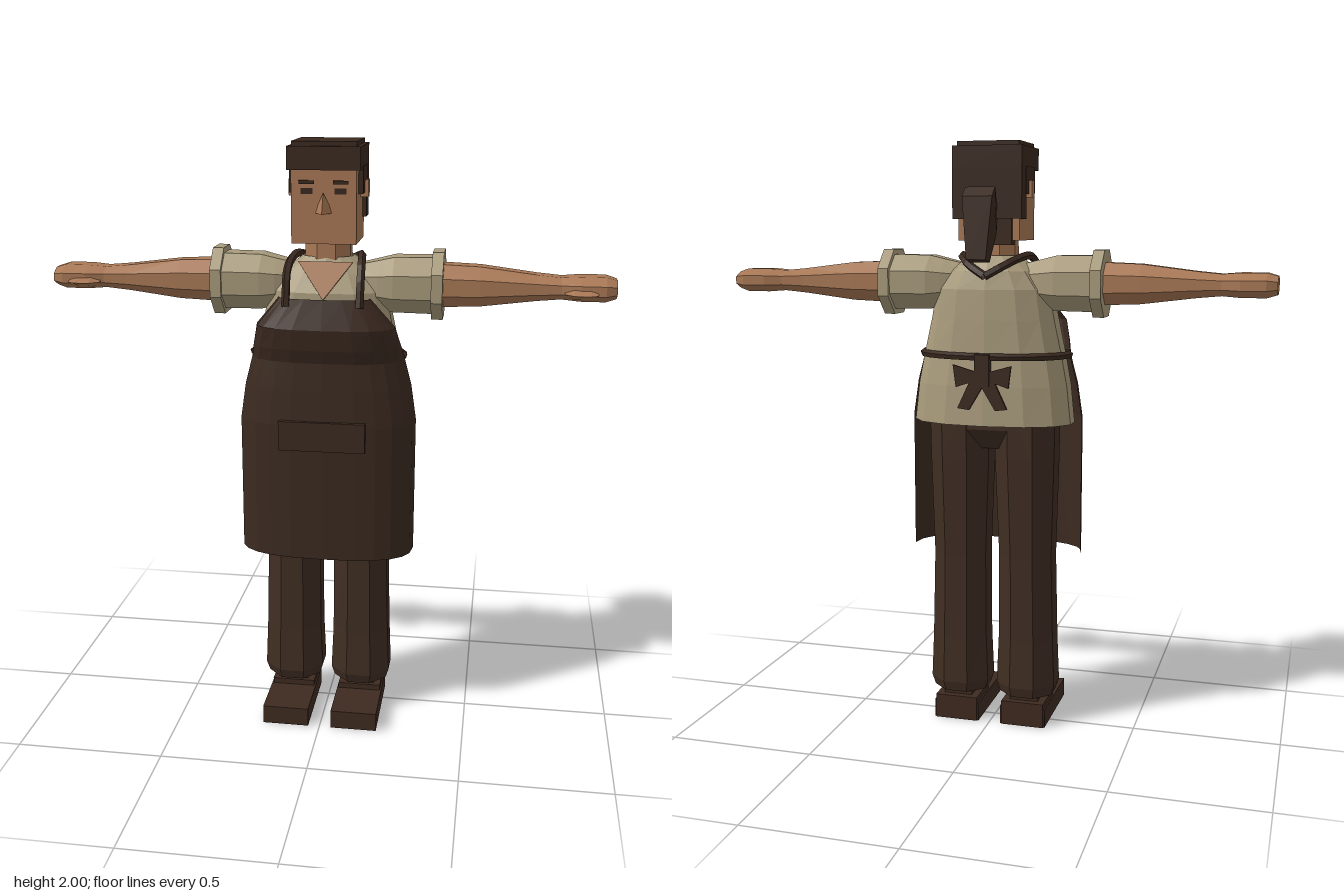
import * as THREE from 'three';

const mat = (name, color, extra = {}) => {
  const m = new THREE.MeshStandardMaterial({ color, flatShading: true, ...extra });
  m.name = name;
  return m;
};

// Loft stacked sections [y, halfWidth, front, back, cx = 0]. Rounded sections;
// power < 1 squares them off. An open loft covers only the front half.
function loft(sections, { n = 8, power = 1, open = false, caps = true } = {}) {
  const pos = [], idx = [];
  const pw = (v) => Math.sign(v) * Math.abs(v) ** power;
  const cols = open ? n + 1 : n;
  for (const [y, w, f, b, cx = 0] of sections) {
    for (let j = 0; j < cols; j++) {
      const t = open ? (j / n) * Math.PI : ((j + 0.5) / n) * Math.PI * 2;
      const c = pw(Math.cos(t)), s = pw(Math.sin(t));
      const z = open ? b + (f - b) * s : s > 0 ? f * s : b * s;
      pos.push(cx + w * c, y, z);
    }
  }
  for (let i = 0; i < sections.length - 1; i++) {
    for (let j = 0; j < n; j++) {
      const a = i * cols + j, b = i * cols + (open ? j + 1 : (j + 1) % n);
      idx.push(a, a + cols, b, b, a + cols, b + cols);
    }
  }
  if (caps && !open) {
    const top = (sections.length - 1) * cols;
    for (let j = 1; j < n - 1; j++) {
      idx.push(0, j, j + 1, top, top + j + 1, top + j);
    }
  }
  const g = new THREE.BufferGeometry();
  g.setAttribute('position', new THREE.Float32BufferAttribute(pos, 3));
  g.setIndex(idx);
  const flat = g.toNonIndexed();
  flat.computeVertexNormals();
  return flat;
}

// Box given by its limits
function box(x0, x1, y0, y1, z0, z1) {
  return new THREE.BoxGeometry(x1 - x0, y1 - y0, z1 - z0)
    .translate((x0 + x1) / 2, (y0 + y1) / 2, (z0 + z1) / 2);
}

// Mirror across x and restore the winding
function mirror(geo) {
  const g = geo.index ? geo.toNonIndexed() : geo.clone();
  const p = g.attributes.position;
  for (let i = 0; i < p.count; i += 3) {
    const v = [0, 2, 1].map((k) => new THREE.Vector3().fromBufferAttribute(p, i + k));
    v.forEach((q, k) => p.setXYZ(i + k, -q.x, q.y, q.z));
  }
  g.computeVertexNormals();
  return g;
}

const tube = (pts, r) => new THREE.TubeGeometry(
  new THREE.CatmullRomCurve3(pts.map((p) => new THREE.Vector3(...p))), 16, r, 5);

const plate = (pts, depth) => new THREE.ExtrudeGeometry(
  new THREE.Shape(pts.map((p) => new THREE.Vector2(...p))), { depth, bevelEnabled: false });

export function createModel() {
  const group = new THREE.Group();
  const both = { side: THREE.DoubleSide };
  const skin = mat('skin', 0xa87855);
  const shirt = mat('shirt linen', 0xa99b7c, both);
  const apron = mat('apron brown', 0x3b2a20, both);
  const trousers = mat('trouser brown', 0x402e23);
  const hair = mat('hair brown', 0x39281e);
  const shoe = mat('shoe leather', 0x3e2a20);

  const add = (name, geo, m) => {
    const mesh = new THREE.Mesh(geo, m);
    mesh.name = name;
    group.add(mesh);
  };
  const pair = (name, geo, m) => {
    add('left' + name, geo, m);
    add('right' + name, mirror(geo), m);
  };

  // Shoes and legs
  pair('ShoeToe', box(0.04, 0.2, 0, 0.065, -0.08, 0.235), shoe);
  pair('ShoeHeel', box(0.045, 0.195, 0, 0.085, -0.085, 0.065), shoe);
  pair('Ankle', box(0.07, 0.17, 0.08, 0.12, -0.06, 0.05), shoe);
  pair('Leg', loft([
    [0.105, 0.1, 0.1, 0.095, 0.12],
    [0.14, 0.112, 0.112, 0.105, 0.12],
    [0.3, 0.105, 0.105, 0.1, 0.12],
    [0.6, 0.1, 0.105, 0.1, 0.117],
    [0.95, 0.112, 0.105, 0.118, 0.115],
    [1.12, 0.115, 0.1, 0.122, 0.115],
  ]), trousers);
  add('hips', loft([[0.98, 0.1, 0.06, 0.07], [1.05, 0.21, 0.08, 0.12], [1.2, 0.21, 0.08, 0.12]]), trousers);

  // Shirt body, open at the hem
  add('shirtBody', loft([
    [1.07, 0.28, 0.08, 0.16],
    [1.2, 0.265, 0.1, 0.153],
    [1.3, 0.245, 0.12, 0.142],
    [1.42, 0.218, 0.13, 0.138],
    [1.52, 0.2, 0.125, 0.132],
    [1.58, 0.15, 0.09, 0.118],
    [1.63, 0.085, 0.06, 0.08],
  ], { n: 14, power: 0.85, caps: false }), shirt);

  // Arms are lofted upright, then laid along x
  const armLoft = (sections, opts) => loft(
    sections.map(([x, ry, f, b, y = 1.54]) => [x, ry, f, b, -y]), opts).rotateZ(-Math.PI / 2);
  pair('Sleeve', armLoft([
    [0.09, 0.065, 0.06, 0.06, 1.54],
    [0.17, 0.085, 0.09, 0.09],
    [0.22, 0.098, 0.1, 0.105],
    [0.355, 0.1, 0.1, 0.108],
  ]), shirt);
  pair('Cuff', armLoft([[0.345, 0.119, 0.112, 0.122], [0.382, 0.119, 0.112, 0.122]]), shirt);
  pair('Forearm', armLoft([
    [0.36, 0.076, 0.08, 0.08],
    [0.5, 0.07, 0.078, 0.078],
    [0.68, 0.046, 0.065, 0.07],
    [0.76, 0.038, 0.062, 0.072],
    [0.82, 0.043, 0.078, 0.088],
    [0.9, 0.043, 0.078, 0.088],
    [0.935, 0.032, 0.06, 0.07],
  ]), skin);
  pair('Thumb', armLoft([
    [0.77, 0.012, 0.075, 0, 1.53],
    [0.8, 0.022, 0.104, 0, 1.53],
    [0.85, 0.022, 0.106, 0, 1.53],
    [0.875, 0.012, 0.09, 0, 1.53],
  ], { n: 6 }), skin);

  // Apron skirt and bib as open front shells
  add('apronSkirt', loft([
    [0.61, 0.3, 0.17, 0.012],
    [1.08, 0.3, 0.17, 0.012],
    [1.2, 0.282, 0.163, 0.012],
    [1.31, 0.253, 0.155, 0.012],
  ], { n: 12, power: 0.75, open: true }), apron);
  add('apronBib', loft([
    [1.295, 0.258, 0.158, 0.015],
    [1.34, 0.248, 0.172, 0.045],
    [1.41, 0.23, 0.183, 0.08],
    [1.505, 0.15, 0.15, 0.105],
  ], { n: 10, power: 0.75, open: true }), apron);
  add('apronPocket', box(-0.145, 0.145, 1.0, 1.1, 0.16, 0.18), apron);
  pair('NeckStrap', tube([
    [0.12, 1.48, 0.15], [0.12, 1.59, 0.115], [0.115, 1.625, 0.05],
    [0.1, 1.625, -0.05], [0.06, 1.6, -0.11], [0, 1.565, -0.135],
  ], 0.014), apron);

  // Waist tie and bow
  const tie = [];
  for (let i = 0; i <= 10; i++) {
    const t = (i / 10) * Math.PI;
    tie.push([0.255 * Math.cos(t), 1.3, 0.02 - 0.17 * Math.sin(t) ** 0.85]);
  }
  add('waistTie', tube(tie, 0.013), apron);
  add('bow', plate([
    [-0.1, 1.275], [-0.03, 1.255], [0.03, 1.255], [0.1, 1.275], [0.09, 1.2], [0.045, 1.215],
    [0.085, 1.13], [0.045, 1.125], [0, 1.2], [-0.045, 1.125], [-0.085, 1.13], [-0.045, 1.215], [-0.09, 1.2],
  ], 0.009).translate(0, 0, -0.168), apron);
  add('bowKnot', box(-0.025, 0.025, 1.205, 1.31, -0.17, -0.14), apron);

  // Neck and the open collar
  add('neck', loft([[1.5, 0.085, 0.07, 0.07], [1.69, 0.08, 0.065, 0.065]]), skin);
  const collar = plate([[0, 0], [0.09, 0.13], [-0.09, 0.13]], 0.006);
  add('openCollar', collar.rotateX(-0.47).translate(0, 1.5, 0.136), skin);

  // Head and face
  add('head', box(-0.105, 0.105, 1.68, 1.93, -0.08, 0.117), skin);
  add('nose', new THREE.ConeGeometry(1, 0.065, 3).scale(0.035, 1, 0.034).translate(0, 1.81, 0.127), skin);
  pair('Ear', box(0.1, 0.131, 1.82, 1.875, -0.02, 0.012), skin);
  pair('Brow', box(0.03, 0.08, 1.869, 1.88, 0.115, 0.122), hair);
  pair('Eye', box(0.035, 0.073, 1.838, 1.856, 0.115, 0.12), hair);

  // Hair
  add('hairCap', box(-0.118, 0.118, 1.912, 1.985, -0.105, 0.124), hair);
  add('hairTop', box(-0.105, 0.105, 1.98, 2, -0.09, 0.11), hair);
  add('hairBack', box(-0.118, 0.118, 1.75, 1.92, -0.105, -0.04), hair);
  add('hairNape', box(-0.08, 0.08, 1.665, 1.76, -0.088, -0.05), hair);
  pair('HairSide', box(0.1, 0.12, 1.87, 1.92, -0.05, 0.065), hair);
  pair('Sideburn', box(0.1, 0.12, 1.835, 1.88, 0.02, 0.065), hair);
  pair('HairBehindEar', box(0.1, 0.12, 1.83, 1.88, -0.05, -0.015), hair);

  // Ponytail, a side outline swept across the width and narrowed at its ends
  const tail = plate([
    [0.09, 1.75], [0.165, 1.7], [0.185, 1.61], [0.233, 1.62], [0.218, 1.82], [0.18, 1.85], [0.09, 1.775],
  ], 0.1).translate(0, 0, -0.05).rotateY(Math.PI / 2);
  const p = tail.attributes.position;
  for (let i = 0; i < p.count; i++) {
    if (p.getY(i) < 1.65 || p.getZ(i) > -0.1) p.setX(i, p.getX(i) * 0.65);
  }
  tail.computeVertexNormals();
  add('ponytail', tail, hair);

  return group;
}
